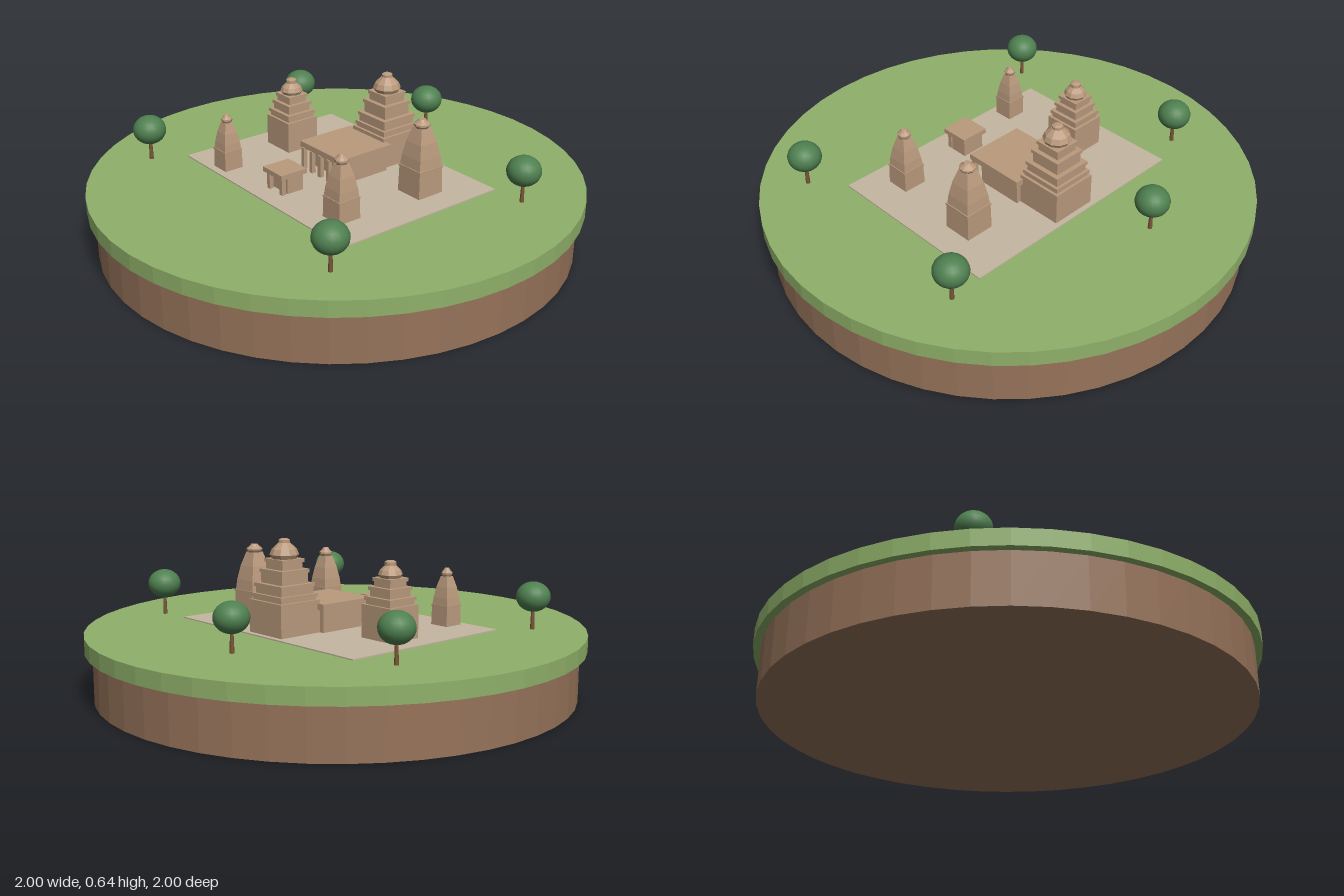
import * as THREE from 'three';

const mat = (name, color) => {
  const m = new THREE.MeshStandardMaterial({ color });
  m.name = name;
  return m;
};

export function createModel() {
  const grass = mat('grass', 0x8fb069);
  const earth = mat('earth', 0x96735a);
  const paving = mat('paving', 0xc4b6a0);
  const stone = mat('sandstone', 0xba9a7d);
  const leaf = mat('foliage', 0x4f8050);
  const bark = mat('bark', 0x7a5638);

  const model = new THREE.Group();
  model.name = 'templeIsland';
  const ground = 0.265;
  const floor = 0.27;

  const add = (parent, name, geo, material, x = 0, y = 0, z = 0) => {
    const mesh = new THREE.Mesh(geo, material);
    mesh.name = name;
    mesh.position.set(x, y, z);
    parent.add(mesh);
    return mesh;
  };
  const faceted = (geo) => {
    const g = geo.toNonIndexed();
    g.computeVertexNormals();
    return g;
  };
  // Box given by its bottom and top heights
  const block = (parent, name, w, d, y0, y1, x = 0, z = 0, material = stone) =>
    add(parent, name, new THREE.BoxGeometry(w, y1 - y0, d), material, x, (y0 + y1) / 2, z);
  // Faceted lathe from [radius, height] pairs
  const turned = (parent, name, pts, sides, phase = 0) =>
    add(parent, name, faceted(new THREE.LatheGeometry(
      pts.map(([r, y]) => new THREE.Vector2(r, y)), sides, phase)), stone);
  const groupAt = (parent, name, x, z) => {
    const g = new THREE.Group();
    g.name = name;
    g.position.set(x, 0, z);
    parent.add(g);
    return g;
  };

  // Round base
  add(model, 'earthBase', faceted(new THREE.CylinderGeometry(0.97, 0.97, 0.2, 48)), earth, 0, 0.1, 0);
  add(model, 'grassTop', faceted(new THREE.CylinderGeometry(1, 1, 0.065, 48)), grass, 0, 0.2325, 0);

  // Turned temple court
  const court = groupAt(model, 'templeCourt', 0, 0);
  court.rotation.y = -0.35;
  block(court, 'pavedCourt', 1.04, 0.77, ground - 0.005, floor, 0, 0, paving);

  // Stepped tower: square body, shrinking tiers, ribbed dome and cap
  const steppedTower = (name, x, z, w, bodyTop, tiers, domeR, top) => {
    const g = groupAt(court, name, x, z);
    block(g, 'body', w, w, ground, bodyTop);
    let y = bodyTop;
    for (const [tw, y1] of tiers) {
      block(g, 'tier', tw, tw, y, y1 - 0.012);
      block(g, 'tierLedge', tw + 0.01, tw + 0.01, y1 - 0.014, y1);
      y = y1;
    }
    const h = top - 0.016 - y;
    turned(g, 'dome', [[domeR * 0.85, y], [domeR, y + h * 0.25], [domeR * 0.85, y + h * 0.6],
      [domeR * 0.4, y + h], [0, y + h]], 10);
    turned(g, 'cap', [[0.022, y + h - 0.004], [0.022, top - 0.005], [0.012, top], [0, top]], 10);
  };
  steppedTower('mainTower', 0, -0.266, 0.195, 0.40,
    [[0.172, 0.425], [0.158, 0.465], [0.128, 0.52], [0.1, 0.56]], 0.057, 0.637);
  steppedTower('leftTower', -0.35, -0.038, 0.152, 0.40,
    [[0.13, 0.43], [0.108, 0.468], [0.086, 0.502]], 0.047, 0.567);

  // Curved shrine: square plinth and spire, round capstone
  const curvedShrine = (name, x, z, w, baseTop, neck, top) => {
    const g = groupAt(court, name, x, z);
    const r = w / Math.SQRT2, h = neck - baseTop;
    const spire = [[r, ground], [r * 0.96, baseTop], [r, baseTop], [r, baseTop + 0.008],
      [r * 0.93, baseTop + 0.008], [r * 0.86, baseTop + h * 0.3], [r * 0.68, baseTop + h * 0.65],
      [r * 0.4, neck], [0, neck]];
    turned(g, 'spire', spire, 4, Math.PI / 4);
    const c = w * 0.27, k = top - neck;
    turned(g, 'capstone', [[c * 0.75, neck - 0.003], [c, neck + k * 0.25], [c, neck + k * 0.45],
      [c * 0.6, neck + k * 0.75], [c * 0.4, top], [0, top]], 10);
  };
  curvedShrine('rightShrine', 0.347, -0.143, 0.122, 0.375, 0.54, 0.573);
  curvedShrine('frontRightShrine', 0.333, 0.24, 0.1, 0.35, 0.49, 0.527);
  curvedShrine('frontLeftShrine', -0.317, 0.313, 0.084, 0.345, 0.467, 0.5);

  // Pillared hall in front of the main tower
  const hall = groupAt(court, 'pillaredHall', 0, -0.05);
  block(hall, 'hallWalls', 0.235, 0.2, ground, 0.365, 0, -0.02);
  block(hall, 'hallRoof', 0.262, 0.264, 0.36, 0.385);
  for (let i = -2; i <= 2; i++) {
    block(hall, 'hallPillar', 0.018, 0.018, ground, 0.362, i * 0.054, 0.129);
  }

  // Small flat-roofed pavilion
  const pavilion = groupAt(court, 'pavilion', 0, 0.256);
  block(pavilion, 'pavilionWalls', 0.1, 0.075, ground, 0.342, 0, -0.0125);
  block(pavilion, 'pavilionRoof', 0.122, 0.122, 0.34, 0.36);
  for (const s of [-1, 1]) {
    block(pavilion, 'pavilionPillar', 0.018, 0.018, ground, 0.342, s * 0.041, 0.042);
  }

  // Trees around the court
  for (const [x, z] of [[-0.515, -0.525], [0.08, -0.64], [0.75, -0.14], [-0.735, 0.28], [0.405, 0.7]]) {
    const tree = groupAt(model, 'tree', x, z);
    add(tree, 'trunk', new THREE.CylinderGeometry(0.006, 0.009, 0.1, 8), bark, 0, ground + 0.05, 0);
    add(tree, 'crown', new THREE.SphereGeometry(0.068, 20, 14), leaf, 0, 0.396, 0).scale.y = 0.88;
  }
  return model;
}
